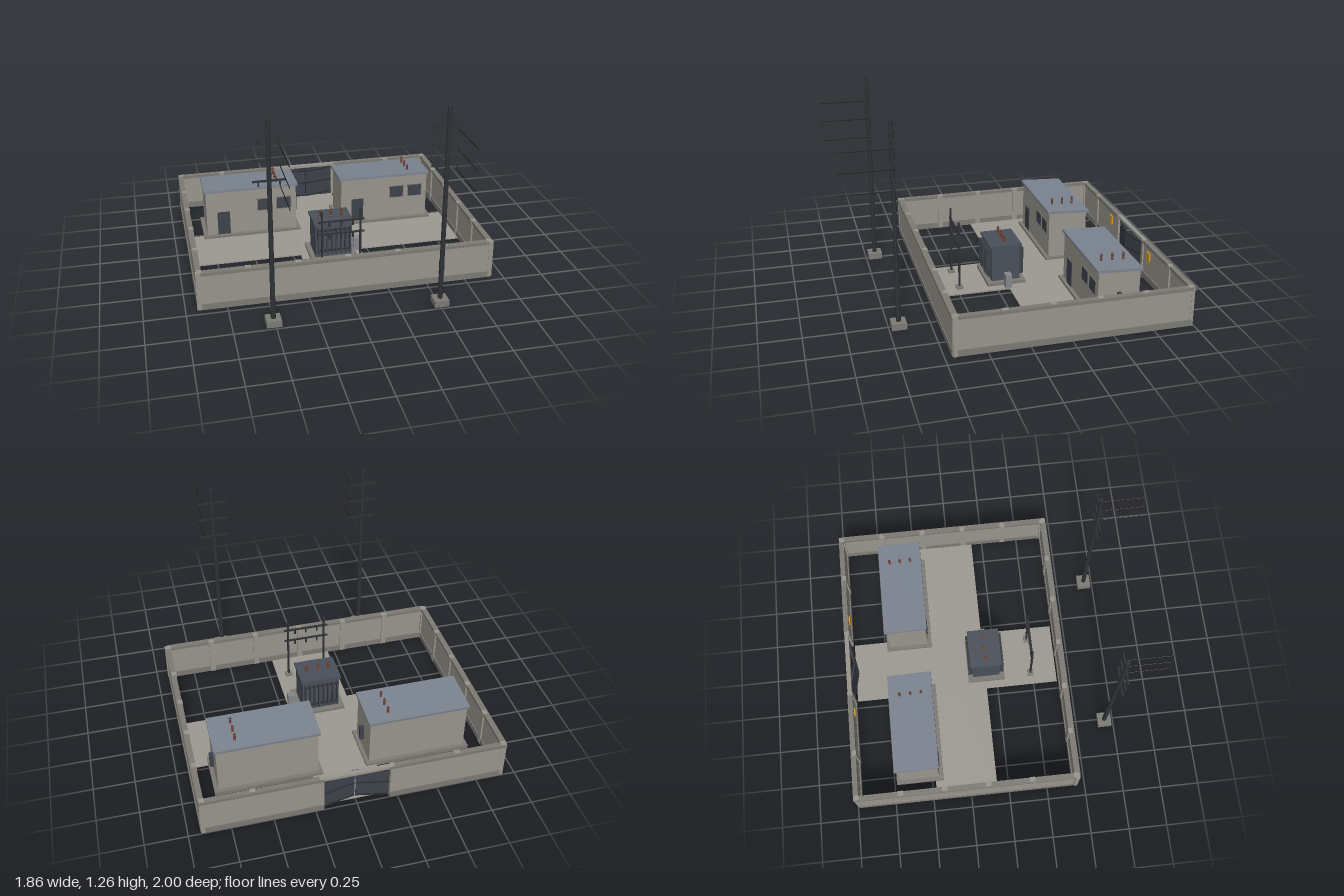
import * as THREE from 'three';

const mat = (color) => new THREE.MeshStandardMaterial({ color, flatShading: true });
const M = {
  wall: mat(0x98958c), trim: mat(0x7d7a74), path: mat(0x9c9a91), roof: mat(0x7b838f),
  dark: mat(0x3d424b), steel: mat(0x2f3236), tank: mat(0x4a505a), grey: mat(0x85868a),
  brown: mat(0x6b3a2a), yellow: mat(0xd09a20), wire: mat(0x1c1c1c),
};

// Box from its minimum and maximum on each axis
function box(parent, name, m, x0, x1, y0, y1, z0, z1) {
  const b = new THREE.Mesh(new THREE.BoxGeometry(x1 - x0, y1 - y0, z1 - z0), m);
  b.position.set((x0 + x1) / 2, (y0 + y1) / 2, (z0 + z1) / 2);
  b.name = name;
  parent.add(b);
  return b;
}

// Upright cylinder standing from y0 to y1
function post(parent, name, m, x, y0, y1, z, r0, r1 = r0, sides = 8) {
  const c = new THREE.Mesh(new THREE.CylinderGeometry(r1, r0, y1 - y0, sides), m);
  c.position.set(x, (y0 + y1) / 2, z);
  c.name = name;
  parent.add(c);
  return c;
}

// Ribbed insulator: lathe with three sheds
function insulator(parent, x, y0, h, z, r = 0.009) {
  const pts = [[0, 0], [r, 0]];
  for (let i = 0; i < 3; i++) {
    pts.push([r, (i + 0.4) * h / 3], [r * 0.65, (i + 0.6) * h / 3], [r * 0.65, (i + 0.9) * h / 3]);
  }
  pts.push([r * 0.65, h], [0, h]);
  const l = new THREE.Mesh(new THREE.LatheGeometry(pts.map((p) => new THREE.Vector2(...p)), 8), M.brown);
  l.position.set(x, y0, z);
  l.name = 'insulator';
  parent.add(l);
}

function group(parent, name, x = 0, y = 0, z = 0) {
  const g = new THREE.Group();
  g.name = name;
  g.position.set(x, y, z);
  parent.add(g);
  return g;
}

// Perimeter wall with plinth, cap, pillars and a gate at the back
function buildWall(root) {
  const g = group(root, 'perimeterWall');
  const H = 0.25;
  box(g, 'frontWall', M.wall, -0.93, 0.93, 0, H - 0.002, 0.425, 0.452);
  box(g, 'frontPlinth', M.trim, -0.9, 0.9, 0, 0.04, 0.418, 0.457);
  box(g, 'frontCap', M.trim, -0.9, 0.9, 0.23, H, 0.418, 0.457);
  for (const s of [-1, 1]) {
    const side = (name, m, a, b, y0, y1, z0, z1) =>
      box(g, name, m, Math.min(s * a, s * b), Math.max(s * a, s * b), y0, y1, z0, z1);
    side('sideWall', M.wall, 0.9, 0.922, 0, H - 0.002, -0.99, 0.455);
    side('sidePlinth', M.trim, 0.893, 0.928, 0, 0.04, -0.985, 0.42);
    side('sideCap', M.trim, 0.893, 0.928, 0.23, H, -0.985, 0.42);
    side('backWall', M.wall, 0.2, 0.925, 0, H - 0.002, -0.995, -0.975);
    side('backPlinth', M.trim, 0.2, 0.9, 0, 0.04, -1, -0.967);
    side('backCap', M.trim, 0.2, 0.925, 0.23, H, -1, -0.967);
    side('gatePost', M.wall, 0.2, 0.225, 0, H + 0.001, -0.999, -0.966);
    for (let i = 0; i < 6; i++) {
      const z = -0.98 + i * 0.282;
      side('sidePillar', M.wall, 0.89, 0.92, 0, H + 0.001, z - 0.017, z + 0.017);
    }
    for (const x of [0.31, 0.615]) {
      side('frontPillar', M.wall, x - 0.017, x + 0.017, 0, H + 0.001, 0.415, 0.445);
    }
    side('backPillar', M.wall, 0.598, 0.632, 0, H + 0.001, -0.99, -0.964);
    side('warningSign', M.yellow, 0.302, 0.347, 0.15, 0.21, -0.968, -0.958);
    // Gate leaf, slightly ajar
    const hinge = group(g, 'gateLeaf', s * 0.2, 0, -0.985);
    hinge.rotation.y = s * 0.2;
    const a = s > 0 ? -0.2 : 0.004, b = s > 0 ? -0.004 : 0.2;
    box(hinge, 'gatePanel', M.dark, a, b, 0.012, 0.225, -0.004, 0.004);
    for (const y of [0.015, 0.115, 0.21]) box(hinge, 'gateRail', M.steel, a, b, y, y + 0.012, -0.006, 0.006);
  }
  box(g, 'frontPillar', M.wall, -0.017, 0.017, 0, H + 0.001, 0.415, 0.445);
  box(g, 'gateLintel', M.wall, -0.2, 0.2, 0.232, H, -0.998, -0.97);
}

// Control building with sloping roof
function buildHouse(root, x) {
  const g = group(root, 'controlBuilding', x, 0, -0.58);
  box(g, 'plinth', M.trim, -0.333, 0.333, 0, 0.025, -0.155, 0.155);
  // Body top follows the roof slope
  const body = box(g, 'walls', M.wall, -0.308, 0.308, 0.02, 0.335, -0.13, 0.13);
  const p = body.geometry.attributes.position;
  for (let i = 0; i < p.count; i++) if (p.getY(i) > 0) p.setY(i, p.getY(i) + p.getZ(i) * 0.05);
  body.geometry.computeVertexNormals();
  const roof = box(g, 'roof', M.roof, -0.32, 0.32, 0.333, 0.35, -0.143, 0.143);
  roof.rotation.x = -0.05;
  box(g, 'door', M.dark, -0.235, -0.15, 0.025, 0.19, 0.128, 0.135);
  for (const wx of [0.09, 0.222]) {
    box(g, 'windowFrame', M.trim, wx - 0.053, wx + 0.053, 0.175, 0.267, 0.128, 0.134);
    box(g, 'windowPane', M.dark, wx - 0.046, wx + 0.046, 0.182, 0.261, 0.13, 0.137);
  }
  box(g, 'meterBox', M.dark, 0.3, 0.333, 0.1, 0.2, -0.012, 0.012);
  for (const z of [-0.07, 0, 0.07]) insulator(g, 0.182, 0.342, 0.053, z);
}

// Transformer on its pad with cooling fins
function buildTransformer(root) {
  const g = group(root, 'transformer', 0, 0, -0.07);
  box(g, 'pad', M.trim, -0.152, 0.152, 0, 0.03, -0.125, 0.125);
  box(g, 'tank', M.tank, -0.12, 0.12, 0.03, 0.26, -0.092, 0.092);
  box(g, 'lid', M.tank, -0.13, 0.13, 0.258, 0.273, -0.105, 0.105);
  for (const s of [-1, 1]) {
    for (let i = 0; i < 8; i++) {
      const x = -0.105 + i * 0.03;
      box(g, 'coolingFin', M.dark, x - 0.005, x + 0.005, 0.06, 0.24, s * 0.103 - 0.017, s * 0.103 + 0.017);
    }
    for (const y of [0.075, 0.22]) {
      box(g, 'radiatorPipe', M.steel, -0.11, 0.11, y, y + 0.012, s * 0.108 - 0.005, s * 0.108 + 0.005);
    }
  }
  for (const x of [-0.072, 0, 0.072]) insulator(g, x, 0.272, 0.05, 0, 0.01);
  box(g, 'controlCabinet', M.grey, 0.152, 0.2, 0, 0.1, -0.02, 0.02);
}

// Busbar frame in front of the transformer
function buildGantry(root) {
  const g = group(root, 'busbarFrame', 0, 0, 0.235);
  for (const x of [-0.123, 0.123]) {
    box(g, 'footing', M.trim, x - 0.023, x + 0.023, 0, 0.025, -0.02, 0.02);
    box(g, 'framePost', M.steel, x - 0.006, x + 0.006, 0.02, 0.46, -0.006, 0.006);
  }
  for (const y of [0.305, 0.39]) {
    box(g, 'frameBeam', M.steel, -0.148, 0.148, y - 0.005, y + 0.005, -0.005, 0.005);
    for (const x of [-0.075, 0, 0.075]) post(g, 'hangingInsulator', M.steel, x, y - 0.036, y - 0.004, 0, 0.006);
  }
}

// Power pole with three cross arms and outgoing wires
function buildPole(root, x) {
  const g = group(root, 'powerPole', x, 0, 0.69);
  box(g, 'footing', M.trim, -0.045, 0.045, 0, 0.04, -0.045, 0.045);
  post(g, 'pole', M.steel, 0, 0.04, 1.265, 0, 0.015, 0.012, 10);
  box(g, 'poleBox', M.steel, -0.012, 0.012, 0.2, 0.29, -0.015, 0.013);
  for (const y of [0.915, 1.04, 1.16]) {
    box(g, 'crossArm', M.steel, -0.093, 0.093, y - 0.005, y + 0.005, -0.005, 0.005);
    for (const ix of [-0.06, 0.06]) {
      post(g, 'hangingInsulator', M.steel, ix, y - 0.03, y - 0.004, 0, 0.005);
    }
    const wire = post(g, 'wire', M.wire, 0.06, 0, 0.31, 0, 0.0025, 0.0025, 6);
    wire.rotation.x = Math.PI / 2;
    wire.position.set(0.06, y - 0.037, 0.155);
  }
}

export function createModel() {
  const root = new THREE.Group();
  root.name = 'substation';
  // Paved drive and cross yard
  box(root, 'drive', M.path, -0.202, 0.202, 0, 0.01, -0.96, 0.41);
  box(root, 'yard', M.path, -0.89, 0.89, 0, 0.008, -0.478, -0.075);
  buildWall(root);
  for (const x of [-0.47, 0.467]) buildHouse(root, x);
  buildTransformer(root);
  buildGantry(root);
  for (const x of [-0.51, 0.507]) buildPole(root, x);
  return root;
}
